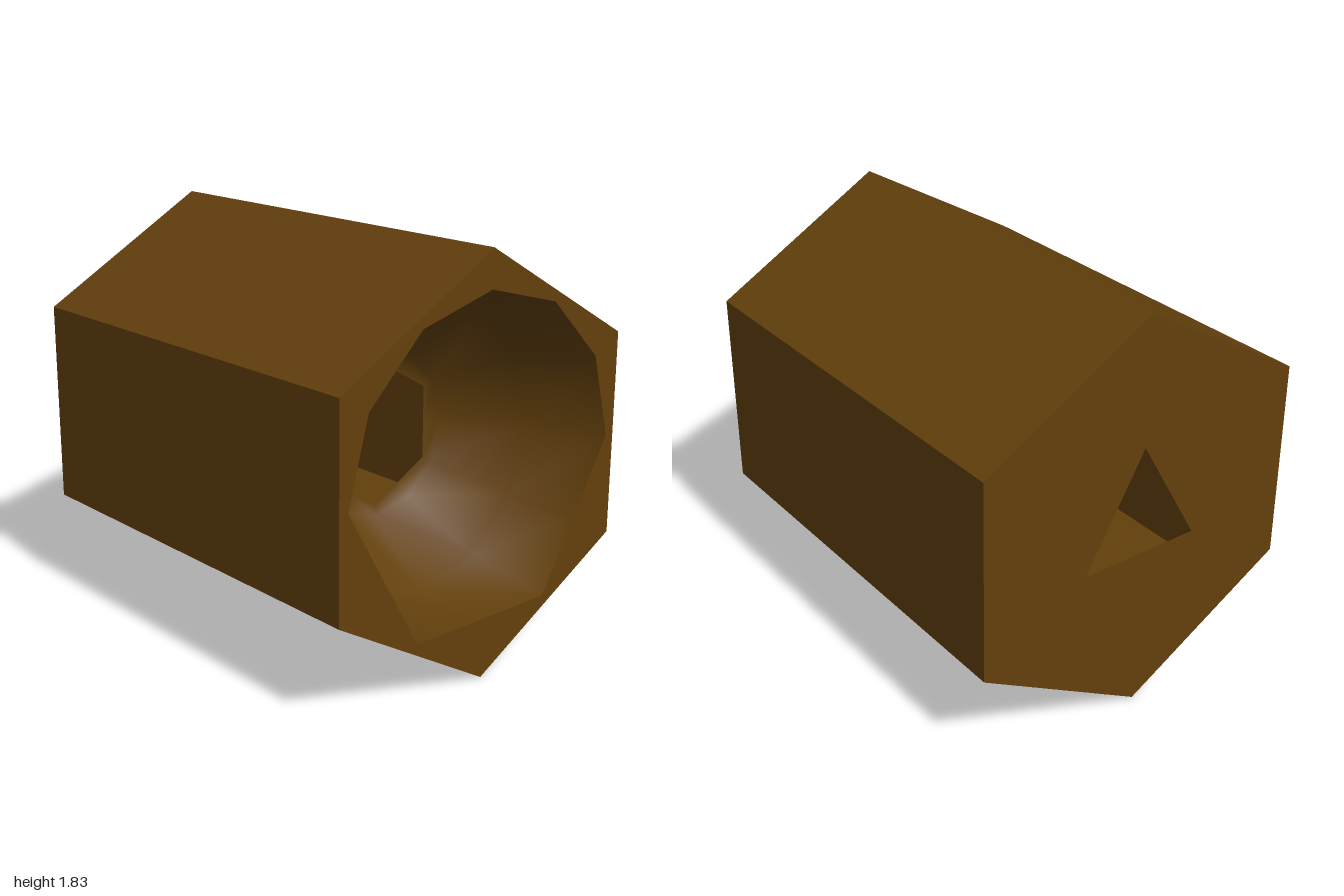
import * as THREE from 'three';

const CY = 0.917; // height of the bore axis
const rad = THREE.MathUtils.degToRad;

// Points on a circle at the given angles (degrees)
const ringPoints = (radius, angles) =>
  angles.map((a) => new THREE.Vector2(radius * Math.cos(rad(a)), radius * Math.sin(rad(a))));

const HEX = [30, 90, 150, 210, 270, 330];
const TRIANGLE = [90, 210, 330];
const SQUARE = [45, 135, 225, 315];
const MOUTH = [0, 30, 60, 90, 120, 150, 180, 240, 300];

export function createModel() {
  const group = new THREE.Group();
  const flat = new THREE.MeshStandardMaterial({ color: 0x63400c, flatShading: true, side: THREE.DoubleSide });
  const smooth = new THREE.MeshStandardMaterial({ color: 0x63400c, side: THREE.DoubleSide });

  const add = (name, geometry, material = flat, z = 0) => {
    const mesh = new THREE.Mesh(geometry, material);
    mesh.name = name;
    mesh.position.set(0, CY, z);
    group.add(mesh);
  };

  // Flat wall with a polygonal opening
  const wall = (name, outer, hole, z) => {
    const shape = new THREE.Shape(outer);
    shape.holes.push(new THREE.Path(hole));
    add(name, new THREE.ShapeGeometry(shape), flat, z);
  };

  // Open prism along z through the given outline
  const tube = (name, outline, z0, z1) => {
    const pos = [];
    outline.forEach((p, i) => {
      const q = outline[(i + 1) % outline.length];
      pos.push(p.x, p.y, z0, q.x, q.y, z1, q.x, q.y, z0);
      pos.push(p.x, p.y, z0, p.x, p.y, z1, q.x, q.y, z1);
    });
    const geometry = new THREE.BufferGeometry();
    geometry.setAttribute('position', new THREE.Float32BufferAttribute(pos, 3));
    geometry.computeVertexNormals();
    add(name, geometry);
  };

  const body = ringPoints(CY, HEX);
  const mouth = ringPoints(0.75, MOUTH);
  const hex = ringPoints(0.333, HEX);
  const triangle = ringPoints(0.333, TRIANGLE);
  const room = ringPoints(0.53, SQUARE);

  // Hexagonal outer shell and its two ends
  tube('outerShell', body, 1, -1);
  wall('frontFace', body, mouth, 1);
  wall('backFace', body, triangle, -1);

  // Twelve-sided rounded pocket from the mouth to the hexagonal opening: [radius, z]
  const rings = [[0.75, 1], [0.65, 0.625], [0.375, 0.35], [0.333, 0.333]];
  const sides = 12, last = rings.length - 1, pos = [], index = [];
  rings.forEach(([radius, z], r) => {
    for (let s = 0; s < sides; s++) {
      const a = s * 30;
      // Pull points onto the straight edges of the mouth and of the hexagon
      const onEdge = (r === 0 && [210, 270, 330].includes(a)) || (r === last && a % 60 === 0);
      const k = radius * (onEdge ? Math.cos(rad(30)) : 1);
      pos.push(k * Math.cos(rad(a)), k * Math.sin(rad(a)), z);
      if (r < last) {
        const i = r * sides + s, j = r * sides + ((s + 1) % sides);
        index.push(i, j, i + sides, j, j + sides, i + sides);
      }
    }
  });
  const pocket = new THREE.BufferGeometry();
  pocket.setAttribute('position', new THREE.Float32BufferAttribute(pos, 3));
  pocket.setIndex(index);
  pocket.computeVertexNormals();
  add('roundedPocket', pocket, smooth);

  // Square inner chamber between the hexagonal and triangular openings
  wall('chamberFront', room, hex, 0.333);
  tube('chamberSides', room, 0.333, -1);

  return group;
}
